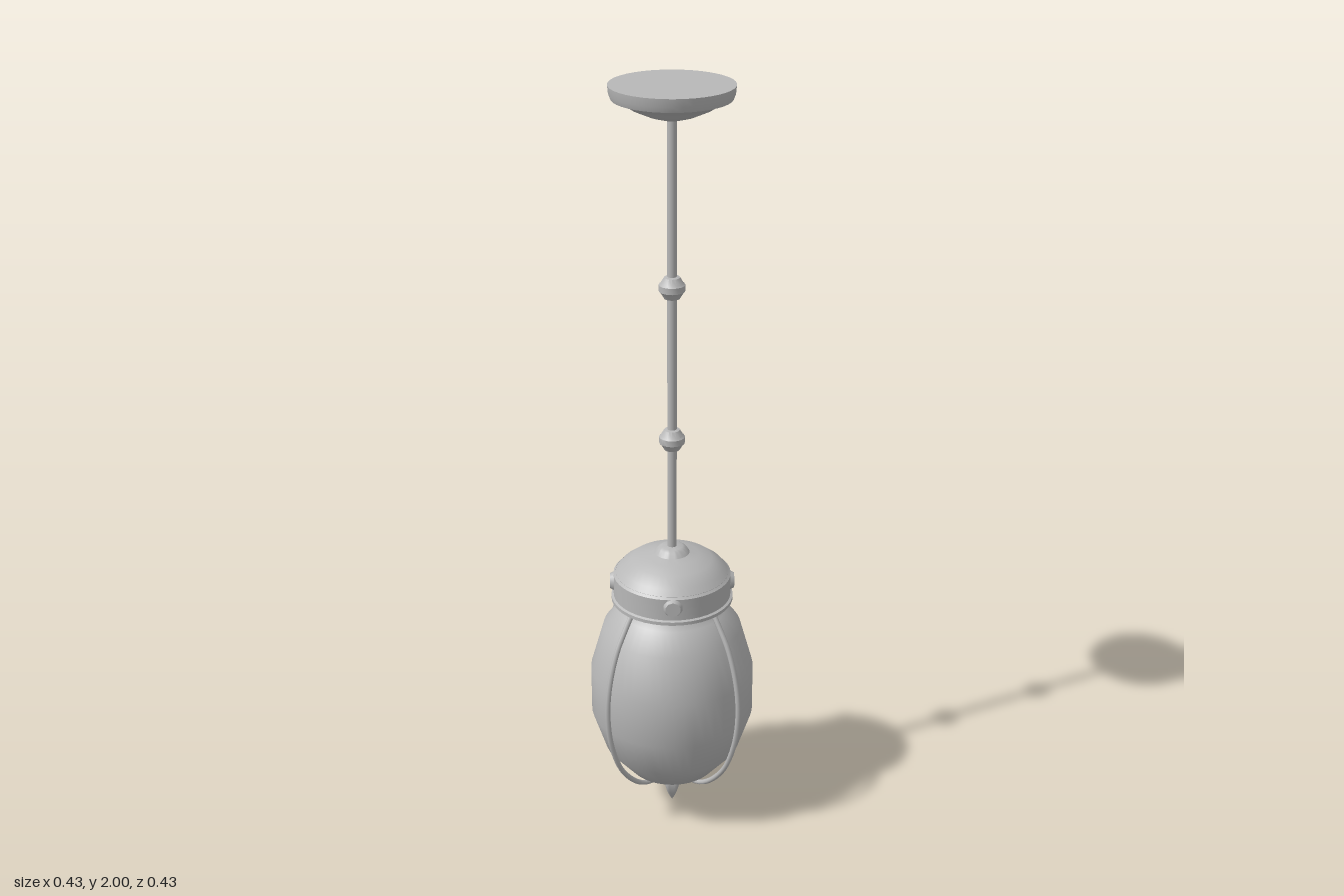
import * as THREE from 'three';
import { toCreasedNormals } from 'three/addons/utils/BufferGeometryUtils.js';

export function createModel() {
  const group = new THREE.Group();
  const metal = new THREE.MeshStandardMaterial({ color: 0xb8b8b8 });
  metal.name = 'grey';
  metal.side = THREE.DoubleSide;

  const add = (name, geometry) => {
    const mesh = new THREE.Mesh(geometry, metal);
    mesh.name = name;
    group.add(mesh);
    return mesh;
  };
  // Profiles are [radius, height] pairs, listed from bottom to top
  const lathe = (name, profile, sides = 32, crease = 0.6) =>
    add(name, toCreasedNormals(
      new THREE.LatheGeometry(profile.map(([r, y]) => new THREE.Vector2(r, y)), sides), crease));

  // Ceiling canopy with a flat top
  lathe('canopy', [[0, 1.914], [0.02, 1.916], [0.06, 1.928], [0.1, 1.946], [0.132, 1.967],
    [0.145, 1.967], [0.15, 1.98], [0.152, 2], [0, 2]], 40);

  // Hanging rod and its two banded knuckles
  const rod = add('rod', new THREE.CylinderGeometry(0.012, 0.012, 1.15, 12));
  rod.position.y = 1.345;
  for (const y of [1.095, 1.5]) {
    lathe('rodKnuckle', [[0.012, y - 0.029], [0.02, y - 0.027], [0.029, y - 0.012],
      [0.033, y - 0.008], [0.033, y + 0.008], [0.029, y + 0.012], [0.02, y + 0.027],
      [0.012, y + 0.029]], 16);
  }

  // Hollow shade holder: domed cap, upright band and lower lip
  lathe('holder', [[0.148, 0.72], [0.148, 0.643], [0.16, 0.643], [0.16, 0.652], [0.154, 0.655],
    [0.154, 0.714], [0.145, 0.722], [0.135, 0.735], [0.105, 0.757], [0.07, 0.768],
    [0.046, 0.775], [0.036, 0.788], [0.028, 0.793], [0, 0.793]], 40);

  // Thumb screws on the four sides of the band
  for (let i = 0; i < 4; i++) {
    const pivot = new THREE.Group();
    pivot.name = 'thumbScrew';
    pivot.rotation.y = i * Math.PI / 2;
    const head = new THREE.Mesh(new THREE.CylinderGeometry(0.02, 0.027, 0.014, 10), metal);
    head.name = 'screwHead';
    head.rotation.x = Math.PI / 2;
    head.position.set(0, 0.69, 0.156);
    pivot.add(head);
    group.add(pivot);
  }

  // Egg-shaped globe with a neck inside the holder
  lathe('globe', [[0, 0.102], [0.06, 0.106], [0.118, 0.127], [0.182, 0.202], [0.217, 0.308],
    [0.217, 0.436], [0.182, 0.56], [0.14, 0.612], [0.107, 0.636], [0.104, 0.7]], 48, 1.2);

  // Four cage ribs on the diagonals, meeting under the globe
  const ribPath = new THREE.CatmullRomCurve3([[0.148, 0.648], [0.17, 0.615], [0.205, 0.555],
    [0.233, 0.465], [0.241, 0.375], [0.227, 0.275], [0.187, 0.18], [0.118, 0.112],
    [0.06, 0.097], [0, 0.094]].map(([r, y]) => new THREE.Vector3(r, y, 0)));
  const ribGeometry = new THREE.TubeGeometry(ribPath, 40, 0.007, 8);
  for (let i = 0; i < 4; i++) {
    add('cageRib', ribGeometry).rotation.y = Math.PI / 4 + i * Math.PI / 2;
  }

  // Pointed finial
  lathe('finial', [[0, 0], [0.007, 0.012], [0.014, 0.028], [0.022, 0.056], [0.021, 0.07],
    [0.014, 0.086], [0.014, 0.1], [0, 0.102]], 16, 1.2);

  return group;
}
